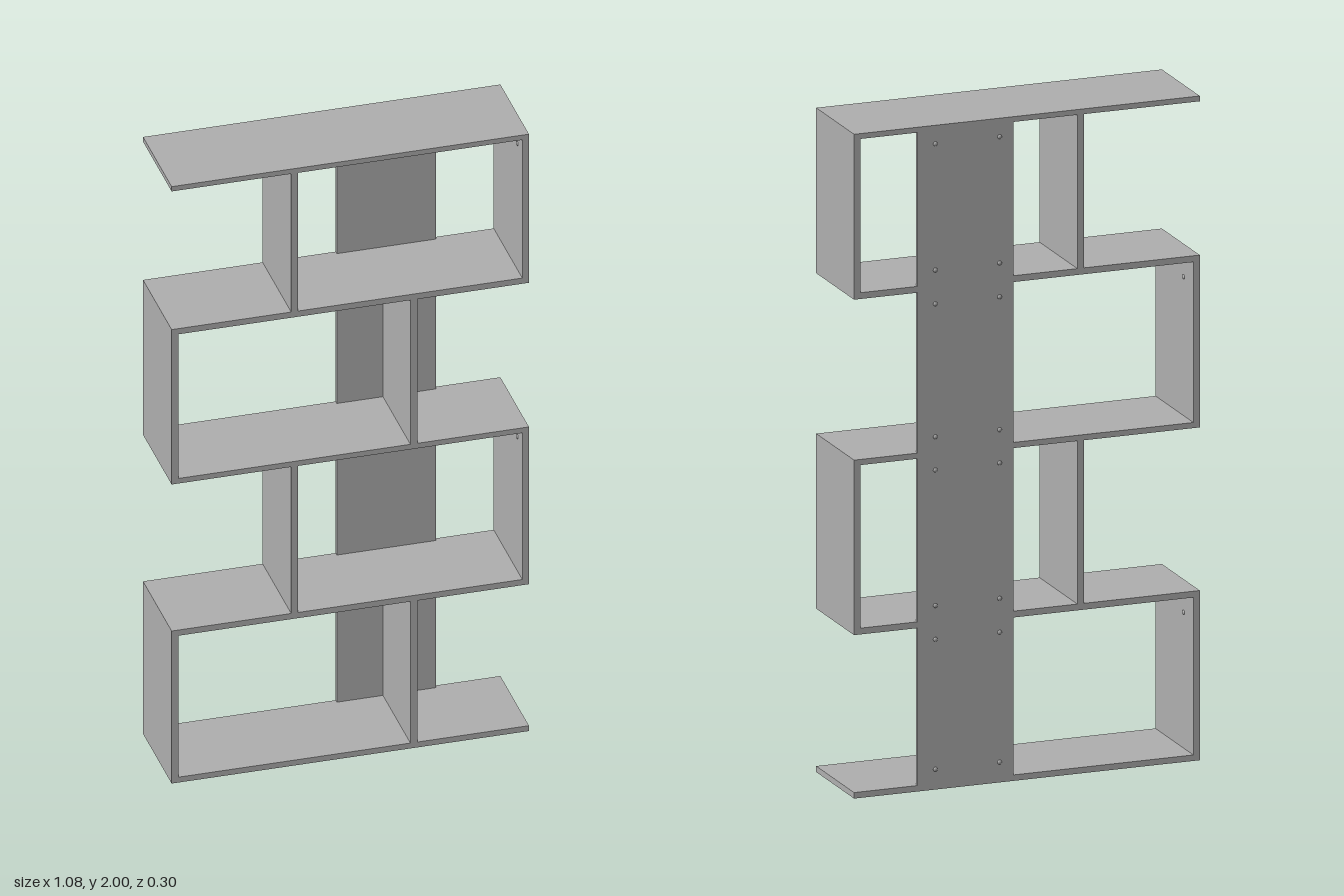
import * as THREE from 'three';

export function createModel() {
  const group = new THREE.Group();
  const grey = new THREE.MeshStandardMaterial({ color: 0xb0b0b0 });
  grey.name = 'grey';

  const FRONT = 0.15, BACK = -0.146, HALF = 0.538, T = 0.02, PANEL = 0.012;

  // Box given by its lower and upper corners
  function board(name, x0, x1, y0, y1, z0 = BACK, z1 = FRONT) {
    const mesh = new THREE.Mesh(new THREE.BoxGeometry(x1 - x0, y1 - y0, z1 - z0), grey);
    mesh.position.set((x0 + x1) / 2, (y0 + y1) / 2, (z0 + z1) / 2);
    mesh.name = name;
    group.add(mesh);
  }

  // Small domed screw cap, its dome pointing along dir
  const capGeometry = new THREE.SphereGeometry(0.007, 12, 4, 0, Math.PI * 2, 0, Math.PI / 2);
  capGeometry.scale(1, 0.004 / 0.007, 1);
  const up = new THREE.Vector3(0, 1, 0);
  function screwCap(x, y, z, dir) {
    const mesh = new THREE.Mesh(capGeometry, grey);
    mesh.position.set(x, y, z);
    mesh.quaternion.setFromUnitVectors(up, dir);
    mesh.name = 'screwCap';
    group.add(mesh);
  }

  // Bottom and top of each shelf
  const shelves = [[0, 0.018], [0.492, 0.511], [1.002, 1.019], [1.502, 1.521], [1.984, 2]];
  for (const [y0, y1] of shelves) board('shelf', -HALF, HALF, y0, y1);

  const backward = new THREE.Vector3(0, 0, -1);
  for (let row = 0; row < 4; row++) {
    const y0 = shelves[row][1], y1 = shelves[row + 1][0];

    // Back panel with a screw cap in each corner
    board('backPanel', 0.042, 0.34, y0, y1, BACK, BACK + PANEL);
    for (const x of [0.085, 0.285]) {
      for (const y of [y0 + 0.043, y1 - 0.04]) screwCap(x, y, BACK, backward);
    }

    // Side and divider swap ends on every other row
    const side = row % 2 === 0 ? -1 : 1;
    const inner = side * (HALF - T);
    board('sidePanel', Math.min(inner, side * HALF), Math.max(inner, side * HALF), y0, y1);
    if (side < 0) board('divider', 0.181, 0.202, y0, y1, BACK + PANEL);
    else board('divider', -0.178, -0.157, y0, y1);

    // Screw caps on the inside of the side panel
    const inward = new THREE.Vector3(-side, 0, 0);
    const capY = side < 0 ? y1 - 0.065 : y1 - 0.04;
    for (const z of [0.1, -0.07]) screwCap(inner, capY, z, inward);
  }
  return group;
}
